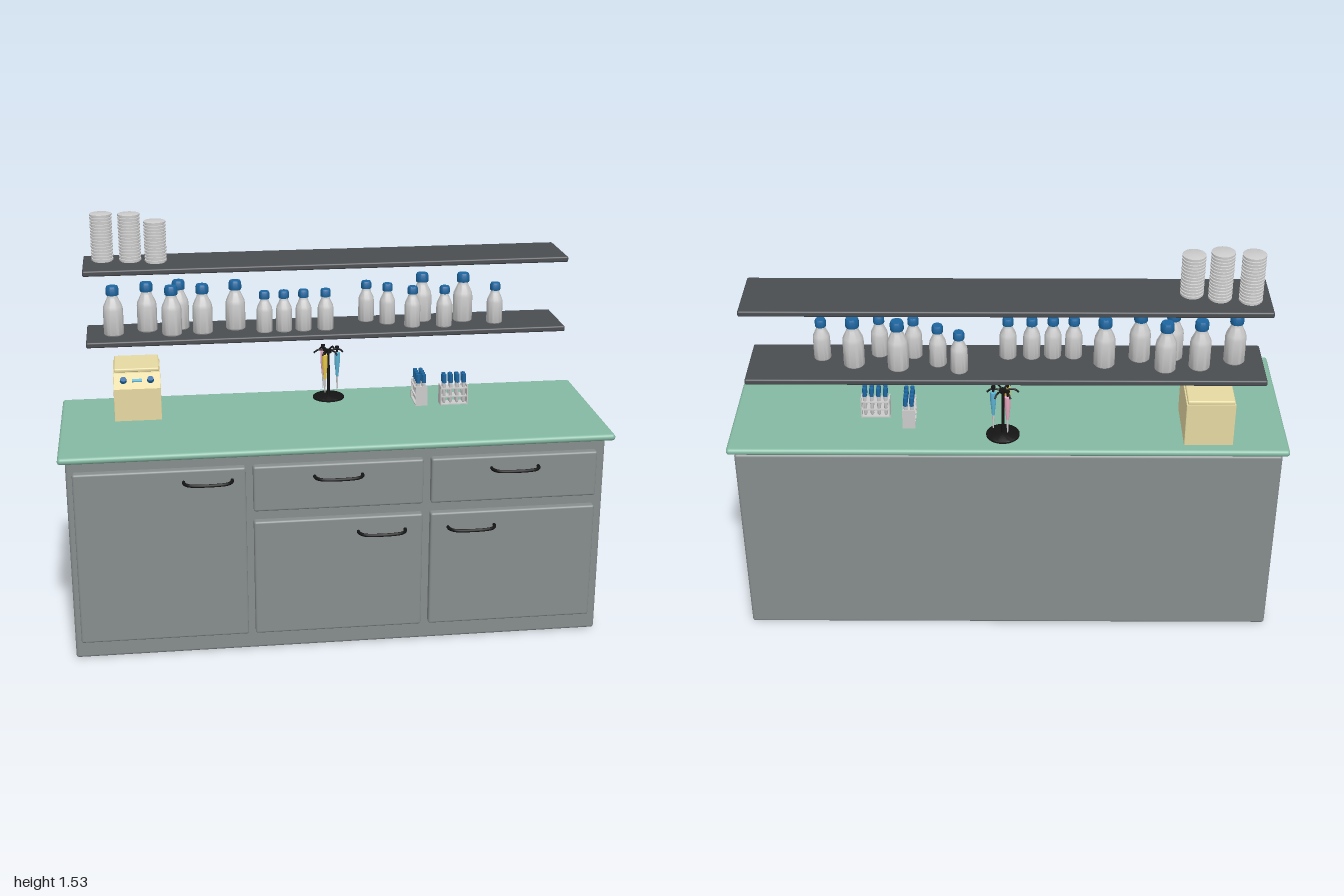
import * as THREE from 'three';
import { RoundedBoxGeometry } from 'three/addons/geometries/RoundedBoxGeometry.js';
import { toCreasedNormals } from 'three/addons/utils/BufferGeometryUtils.js';

const mat = (color, side = THREE.FrontSide) => new THREE.MeshStandardMaterial({ color, side });
const M = {
  grey: mat(0xcccccc), cabinet: mat(0x868c8c), counter: mat(0x84b9a2), shelf: mat(0x4a4d51),
  black: mat(0x141414), blue: mat(0x1c66a0), cream: mat(0xe6d9a2), pink: mat(0xe8a8c0),
  yellow: mat(0xe8c94a), sky: mat(0x5cb4d4),
};
const COUNTER_Y = 0.795;

function add(parent, name, geometry, material, x = 0, y = 0, z = 0) {
  const mesh = new THREE.Mesh(geometry, material);
  mesh.name = name;
  mesh.position.set(x, y, z);
  parent.add(mesh);
  return mesh;
}

function group(parent, name, x = 0, y = 0, z = 0) {
  const g = new THREE.Group();
  g.name = name;
  g.position.set(x, y, z);
  parent.add(g);
  return g;
}

// Rounded box given by its limits on each axis
function slab(parent, name, material, [x0, x1], [y0, y1], [z0, z1], r) {
  return add(parent, name, new RoundedBoxGeometry(x1 - x0, y1 - y0, z1 - z0, 3, r), material,
    (x0 + x1) / 2, (y0 + y1) / 2, (z0 + z1) / 2);
}

function lathe(points, segments = 24) {
  const profile = points.map(([r, y]) => new THREE.Vector2(r, y));
  return toCreasedNormals(new THREE.LatheGeometry(profile, segments), 0.7);
}

function buildCabinet(root) {
  const g = group(root, 'cabinet');
  slab(g, 'carcass', M.cabinet, [-0.975, 0.972], [0, 0.772], [-0.345, 0.265], 0.01);
  slab(g, 'countertop', M.counter, [-1, 1], [0.77, COUNTER_Y], [-0.347, 0.302], 0.012);

  // Fronts: name, x range, y range, handle centre x and y
  const fronts = [
    ['tallDoor', [-0.952, -0.343], [0.073, 0.73], -0.478, 0.686],
    ['drawer', [-0.317, 0.297], [0.558, 0.73], -0.012, 0.686],
    ['door', [-0.317, 0.297], [0.073, 0.518], 0.146, 0.463],
    ['drawer', [0.326, 0.937], [0.558, 0.73], 0.631, 0.686],
    ['door', [0.326, 0.937], [0.073, 0.518], 0.476, 0.463],
  ];
  const bow = new THREE.CatmullRomCurve3([
    [-0.086, 0], [-0.084, 0.018], [-0.07, 0.036], [-0.04, 0.044],
    [0.04, 0.044], [0.07, 0.036], [0.084, 0.018], [0.086, 0],
  ].map(([x, z]) => new THREE.Vector3(x, 0, z)));
  const handle = new THREE.TubeGeometry(bow, 40, 0.006, 10);
  for (const [name, xs, ys, hx, hy] of fronts) {
    slab(g, name, M.cabinet, xs, ys, [0.26, 0.295], 0.008);
    add(g, 'handle', handle, M.black, hx, hy, 0.295);
  }
}

function buildShelves(root) {
  for (const y of [1.068, 1.337])
    slab(root, 'shelf', M.shelf, [-0.892, 0.905], [y, y + 0.021], [-0.347, -0.105], 0.006);

  // Reagent bottles: body radius r, total height h
  const bottle = (r, h) => ({
    body: lathe([[0, 0], [r * 0.9, 0], [r, r * 0.12], [r, h * 0.52], [r * 0.93, h * 0.6],
      [r * 0.58, h * 0.75], [r * 0.5, h * 0.8], [r * 0.5, h * 0.9], [0, h * 0.9]]),
    cap: lathe([[0, h * 0.82], [r * 0.62, h * 0.82], [r * 0.65, h * 0.84], [r * 0.65, h * 0.95],
      [r * 0.55, h], [0, h]]),
  });
  const large = bottle(0.037, 0.185), small = bottle(0.03, 0.155);
  const placed = (kind, spots) => {
    for (const [x, z] of spots) {
      const g = group(root, 'bottle', x, 1.089, z);
      add(g, 'bottleBody', kind.body, M.grey);
      add(g, 'bottleCap', kind.cap, M.blue);
    }
  };
  placed(large, [[-0.79, -0.21], [-0.665, -0.25], [-0.575, -0.185], [-0.545, -0.265],
    [-0.46, -0.195], [-0.335, -0.235], [0.38, -0.26], [0.535, -0.24]]);
  placed(small, [[-0.23, -0.18], [-0.157, -0.18], [-0.083, -0.183], [0, -0.183], [0.168, -0.28],
    [0.243, -0.235], [0.33, -0.18], [0.45, -0.17], [0.65, -0.195]]);

  // Stacks of lidded dishes
  const step = 0.0118;
  const dish = lathe([[0, 0], [0.036, 0], [0.036, 0.005], [0.0405, 0.005], [0.0405, 0.0112],
    [0.039, step], [0, step]]);
  for (const [x, z, count] of [[-0.82, -0.262, 15], [-0.718, -0.246, 15], [-0.625, -0.22, 13]]) {
    const g = group(root, 'dishStack', x, 1.358, z);
    for (let i = 0; i < count; i++) add(g, 'dish', dish, M.grey, 0, i * step, 0);
  }
}

// Cream bench instrument with a sloping control panel
function buildInstrument(root) {
  const g = group(root, 'benchInstrument', -0.713, COUNTER_Y, 0);
  const side = new THREE.Shape([[-0.303, 0], [-0.069, 0], [-0.069, 0.122], [-0.125, 0.165],
    [-0.303, 0.165]].map(([z, y]) => new THREE.Vector2(z, y)));
  const body = new THREE.ExtrudeGeometry(side, {
    depth: 0.168, bevelThickness: 0.003, bevelSize: 0.002, bevelSegments: 2,
  });
  body.translate(0, 0, -0.084).rotateY(-Math.PI / 2);
  add(g, 'housing', body, M.cream);
  slab(g, 'lid', M.cream, [-0.083, 0.083], [0.168, 0.182], [-0.303, -0.13], 0.005);

  const panel = group(g, 'controlPanel', 0, 0.1455, -0.096);
  panel.rotation.x = Math.atan2(0.056, 0.043);
  panel.rotation.x = Math.atan2(0.043, 0.056);
  const knob = new THREE.CylinderGeometry(0.011, 0.013, 0.012, 20);
  for (const s of [-1, 1]) add(panel, 'knob', knob, M.blue, s * 0.05, 0.007, 0);
  add(panel, 'display', new THREE.BoxGeometry(0.036, 0.004, 0.012), M.sky, 0, 0.002, 0);
}

// Round stand with three hanging pipettes
function buildPipetteStand(root) {
  const g = group(root, 'pipetteStand', 0.018, COUNTER_Y, -0.243);
  add(g, 'base', lathe([[0, 0], [0.06, 0], [0.06, 0.006], [0.054, 0.01], [0.012, 0.012], [0, 0.012]], 32), M.black);
  add(g, 'pole', new THREE.CylinderGeometry(0.005, 0.006, 0.19, 12), M.black, 0, 0.1, 0);
  add(g, 'hub', new THREE.CylinderGeometry(0.013, 0.013, 0.012, 20), M.black, 0, 0.187, 0);

  const hook = new THREE.CatmullRomCurve3([[0, 0.185], [0.02, 0.193], [0.042, 0.193], [0.056, 0.182]]
    .map(([x, y]) => new THREE.Vector3(x, y, 0)));
  const arm = new THREE.TubeGeometry(hook, 12, 0.0035, 8);
  for (let i = 0; i < 6; i++) add(g, 'arm', arm, M.black).rotation.y = i * Math.PI / 3;

  const grip = lathe([[0, 0.085], [0.005, 0.085], [0.008, 0.12], [0.0105, 0.14], [0.0105, 0.18], [0, 0.184]], 16);
  const tip = lathe([[0, 0.03], [0.0022, 0.03], [0.0045, 0.086], [0, 0.086]], 12);
  const plunger = lathe([[0, 0.18], [0.004, 0.18], [0.004, 0.198], [0.008, 0.198], [0.008, 0.205], [0, 0.205]], 12);
  [M.sky, M.pink, M.yellow].forEach((color, i) => {
    const a = i * 2 * Math.PI / 3;
    const p = group(g, 'pipette', 0.034 * Math.cos(a), 0, -0.034 * Math.sin(a));
    add(p, 'grip', grip, color);
    add(p, 'tip', tip, M.grey);
    add(p, 'plunger', plunger, M.black);
  });
}

// Tube rack: end plates, trays and two rows of capped tubes
function buildRack(root, x, z, turn) {
  const g = group(root, 'tubeRack', x, COUNTER_Y, z);
  g.rotation.y = turn;
  for (const s of [-1, 1])
    add(g, 'endPlate', new THREE.BoxGeometry(0.004, 0.076, 0.046), M.grey, s * 0.051, 0.038, 0);
  for (const y of [0.004, 0.034, 0.066])
    add(g, 'tray', new THREE.BoxGeometry(0.1, 0.004, 0.046), M.grey, 0, y, 0);
  const tube = lathe([[0, 0.006], [0.004, 0.008], [0.0065, 0.014], [0.0065, 0.095], [0, 0.095]], 12);
  const cap = new THREE.CylinderGeometry(0.008, 0.008, 0.033, 14);
  for (let i = 0; i < 4; i++) for (const s of [-1, 1]) {
    const tx = (i - 1.5) * 0.025;
    add(g, 'testTube', tube, M.grey, tx, 0, s * 0.011);
    add(g, 'tubeCap', cap, M.blue, tx, 0.104, s * 0.011);
  }
}

export function createModel() {
  const root = new THREE.Group();
  root.name = 'laboratoryBench';
  buildCabinet(root);
  buildShelves(root);
  buildInstrument(root);
  buildPipetteStand(root);
  buildRack(root, 0.482, -0.115, 0);
  buildRack(root, 0.357, -0.152, Math.PI / 2);
  return root;
}
